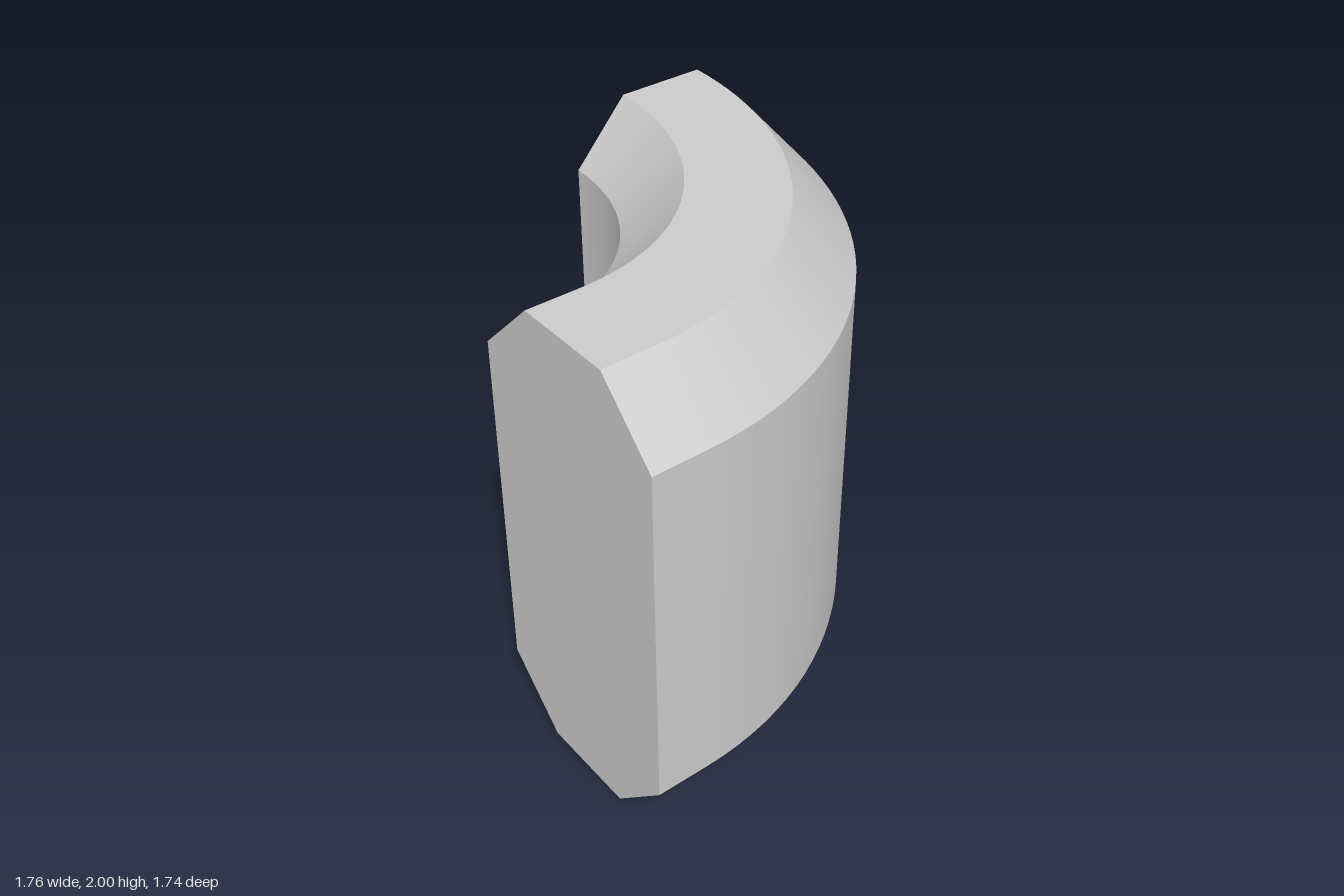
import * as THREE from 'three';
import { toCreasedNormals } from 'three/addons/utils/BufferGeometryUtils.js';

// Chamfered cross-section: [radius from the bend axis, height]
const PROFILE = [
  [1.06, 0], [1.48, 0], [1.736, 0.26], [1.736, 1.74],
  [1.48, 2], [1.06, 2], [0.8, 1.74], [0.8, 0.26],
];
const AXIS_X = -0.66, AXIS_Z = -0.868; // bend axis
const SQUASH = 0.888;                  // the bend is slightly narrower in x
const LEFT_END = -0.882;
const STEPS = 32;

function sweepGeometry() {
  const n = PROFILE.length;
  const positions = [];
  const index = [];

  // Straight lead-in section, then the quarter bend
  for (const [r, y] of PROFILE) positions.push(LEFT_END, y, AXIS_Z + r);
  for (let i = 0; i <= STEPS; i++) {
    const a = (i / STEPS) * Math.PI / 2;
    for (const [r, y] of PROFILE) {
      positions.push(AXIS_X + SQUASH * r * Math.sin(a), y, AXIS_Z + r * Math.cos(a));
    }
  }

  // Skin between neighbouring sections
  const last = STEPS + 1;
  for (let i = 0; i < last; i++) {
    for (let j = 0; j < n; j++) {
      const k = (j + 1) % n;
      const a = i * n + j, b = (i + 1) * n + j, c = (i + 1) * n + k, d = i * n + k;
      index.push(a, b, c, a, c, d);
    }
  }

  // Flat end faces
  for (let j = 1; j < n - 1; j++) {
    index.push(0, j, j + 1);
    index.push(last * n, last * n + j + 1, last * n + j);
  }

  const geometry = new THREE.BufferGeometry();
  geometry.setAttribute('position', new THREE.Float32BufferAttribute(positions, 3));
  geometry.setIndex(index);
  return toCreasedNormals(geometry, Math.PI / 7);
}

export function createModel() {
  const group = new THREE.Group();
  group.name = 'curvedBlock';
  const bend = new THREE.Mesh(
    sweepGeometry(),
    new THREE.MeshStandardMaterial({ color: 0xcccccc }),
  );
  bend.name = 'chamferedBend';
  group.add(bend);
  return group;
}
